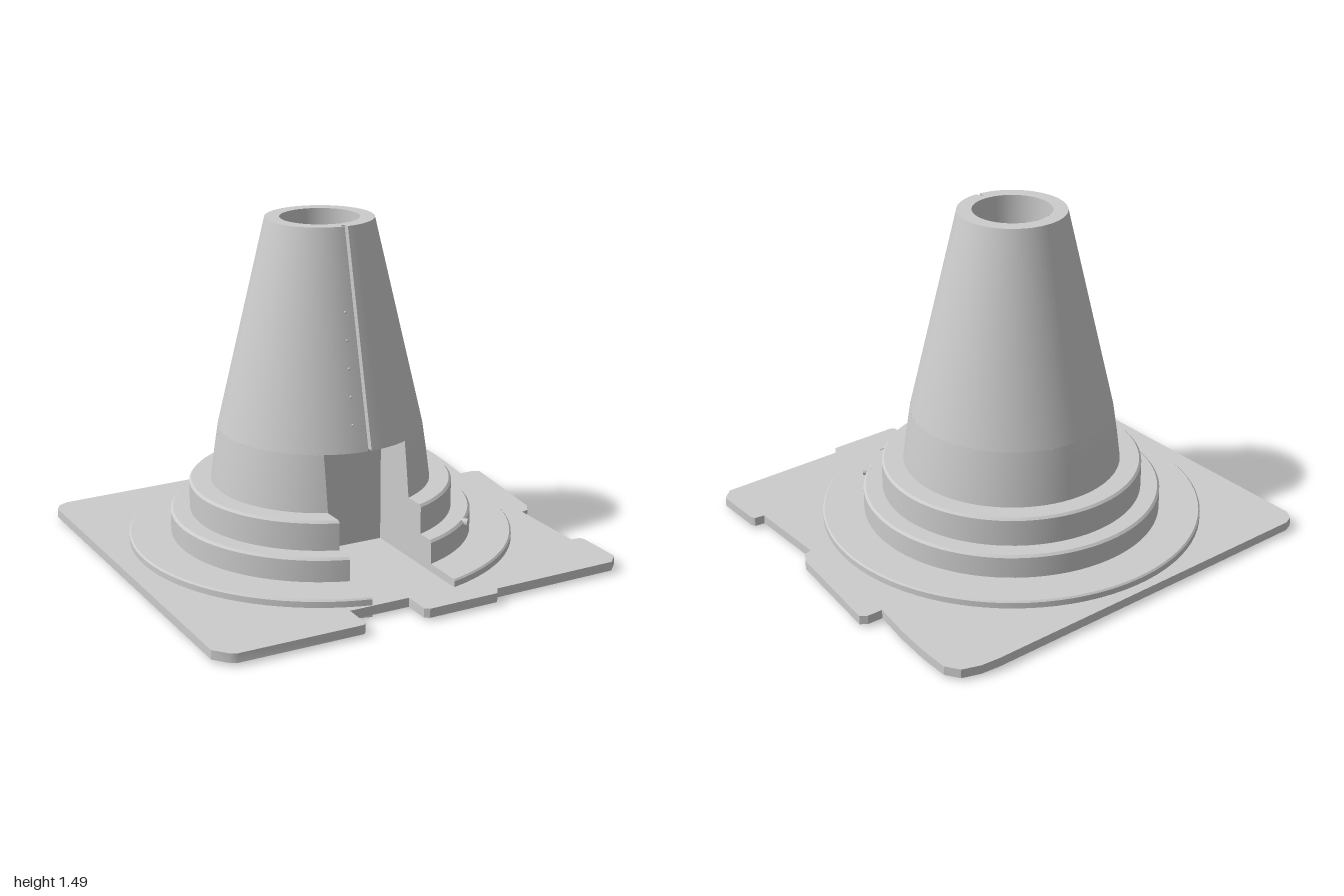
import * as THREE from 'three';
import { toCreasedNormals } from 'three/addons/utils/BufferGeometryUtils.js';

const CX = -0.053, CZ = -0.033; // tower axis
const SLOT = 0.195, SLOT_END = 0.2; // front slot: half width, distance of its back wall from the axis
const mat = new THREE.MeshStandardMaterial({ color: 0xcccccc, side: THREE.DoubleSide });

// Circle of radius r with a notch of half width hw cut from the front to depth end: [x, z] points
function outline(r, hw = SLOT, end = SLOT_END) {
  const n = 80, a = Math.asin(hw / r), pts = [];
  for (let i = 0; i <= n; i++) {
    const t = a + (2 * Math.PI - 2 * a) * i / n;
    pts.push([CX + r * Math.sin(t), CZ + r * Math.cos(t)]);
  }
  pts.push([CX - hw, CZ + end], [CX + hw, CZ + end]);
  return pts;
}

// Skin between successive [y, outline] rings
function loft(rings) {
  const pos = [];
  const tri = (a, b, c) => {
    if (new THREE.Triangle(a, b, c).getArea() > 1e-9) for (const p of [a, b, c]) pos.push(p.x, p.y, p.z);
  };
  for (let j = 0; j + 1 < rings.length; j++) {
    const [lo, hi] = [rings[j], rings[j + 1]].map(([y, o]) => o.map(([x, z]) => new THREE.Vector3(x, y, z)));
    lo.forEach((p, i) => {
      const k = (i + 1) % lo.length;
      tri(p, lo[k], hi[k]);
      tri(p, hi[k], hi[i]);
    });
  }
  const g = new THREE.BufferGeometry();
  g.setAttribute('position', new THREE.Float32BufferAttribute(pos, 3));
  return toCreasedNormals(g, 0.5);
}

// Shape on the ground plane, with an optional round hole on the axis
function flatShape(pts, holeR) {
  const s = new THREE.Shape(pts.map(([x, z]) => new THREE.Vector2(x, -z)));
  if (holeR) s.holes.push(new THREE.Path().absarc(CX, -CZ, holeR, 0, 2 * Math.PI, true));
  return s;
}

export function createModel() {
  const group = new THREE.Group();
  const add = (name, geo, x = 0, y = 0, z = 0) => {
    const m = new THREE.Mesh(geo, mat);
    m.name = name;
    m.position.set(x, y, z);
    group.add(m);
    return m;
  };
  const cap = (name, pts, y, holeR) =>
    add(name, new THREE.ShapeGeometry(flatShape(pts, holeR), 32).rotateX(-Math.PI / 2), 0, y);

  // Ground plate with its irregular broken edge
  const plate = [
    [-0.93, -0.905], [-0.4, -0.92], [0.73, -0.95], [0.82, -0.945], [0.9, -0.92], [0.94, -0.86],
    [0.94, -0.72], [0.925, -0.55], [0.9, -0.38], [0.97, -0.38], [1, -0.36], [0.94, 0.14], [0.91, 0.19],
    [0.875, 0.2], [0.875, 0.585], [0.92, 0.59], [0.93, 0.61], [0.93, 0.83], [0.88, 0.88], [0.29, 0.89],
    [0.265, 0.93], [-0.06, 0.935], [-0.08, 0.92], [-0.08, 0.8], [-0.355, 0.8], [-0.355, 0.93],
    [-0.37, 0.945], [-0.92, 0.945], [-0.95, 0.93], [-1, 0.87], [-1, -0.84], [-0.975, -0.885],
  ];
  const plateGeo = new THREE.ExtrudeGeometry(flatShape(plate, 0.83), { depth: 0.04, bevelEnabled: false, curveSegments: 40 });
  add('groundPlate', toCreasedNormals(plateGeo.rotateX(-Math.PI / 2), 0.5), 0, 0.012);

  // Hollow round foundation: thin rim and slot walls below, disc on top
  const inner = outline(0.83, SLOT + 0.012, SLOT_END - 0.012);
  add('foundationDisc', loft([
    [0.06, inner], [0, inner], [0, outline(0.85)], [0.078, outline(0.85)],
    [0.085, outline(0.843)], [0.085, outline(0.6)],
  ]));
  cap('foundationUnderside', inner, 0.06);
  add('slotFloor', new THREE.BoxGeometry(2 * SLOT, 0.015, 0.63), CX, 0.0425, 0.48);

  // Two stepped tiers
  add('lowerTier', loft([
    [0.08, outline(0.665)], [0.18, outline(0.665)], [0.19, outline(0.655)], [0.19, outline(0.55)],
  ]));
  add('upperTier', loft([
    [0.18, outline(0.58)], [0.31, outline(0.58)], [0.32, outline(0.57)], [0.32, outline(0.45)],
  ]));

  // Tower foot, cut by the slot
  add('towerFoot', loft([[0.31, outline(0.485)], [0.45, outline(0.467)], [0.565, outline(0.45)]]));

  // Tower above the slot, with a narrow groove down its front
  const grooved = r => outline(r, 0.009, r - 0.03);
  add('tower', loft([[0.565, grooved(0.45)], [1.485, grooved(0.236)]]));
  cap('slotCeiling', grooved(0.45), 0.565, 0.172);
  cap('towerRim', grooved(0.236), 1.485, 0.172);

  // Central bore and its floor
  add('bore', new THREE.CylinderGeometry(0.172, 0.172, 1.405, 48, 1, true), CX, 0.7825, CZ);
  add('boreFloor', new THREE.CircleGeometry(0.172, 48).rotateX(-Math.PI / 2), CX, 0.08, CZ);

  // Row of tiny marks beside the groove
  for (let i = 0; i < 5; i++) {
    const y = 0.68 + i * 0.115, r = 0.45 - (y - 0.565) * 0.2326, dx = -0.065 + i * 0.005;
    add('towerMark', new THREE.SphereGeometry(0.006, 8, 6), CX + dx, y, CZ + Math.sqrt(r * r - dx * dx));
  }

  // Small stud on the lower tier
  const stud = add('tierStud', new THREE.CylinderGeometry(0.018, 0.018, 0.03, 16).rotateX(Math.PI / 2), 0.4, 0.175, 0.455);
  stud.rotation.y = Math.atan2(0.4 - CX, 0.455 - CZ);
  return group;
}
